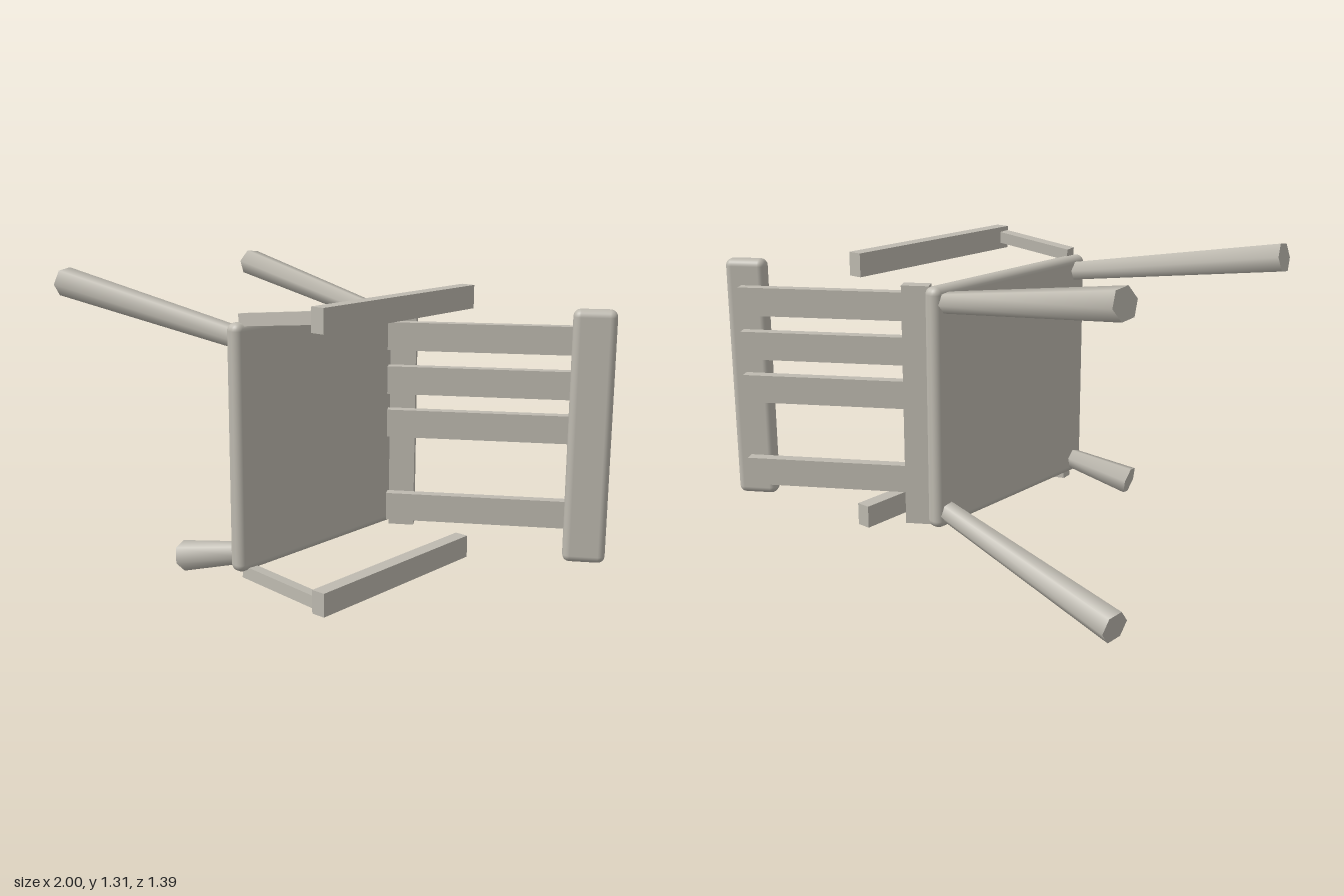
import * as THREE from 'three';
import { RoundedBoxGeometry } from 'three/addons/geometries/RoundedBoxGeometry.js';

const MID = 0.66;     // mirror height of the toppled chair
const LEAN = 0.565;   // lean of the backrest about y

export function createModel() {
  const model = new THREE.Group();
  model.name = 'topplechair';
  const wood = new THREE.MeshStandardMaterial({ color: 0xbebab0 });
  wood.name = 'pale grey wood';

  const add = (name, geometry, x, y, z, turn = 0) => {
    const mesh = new THREE.Mesh(geometry, wood);
    mesh.name = name;
    mesh.position.set(x, y, z);
    mesh.rotation.y = turn;
    model.add(mesh);
    return mesh;
  };

  // Places a geometry whose axis is y between two points
  const between = (name, a, b, make) => {
    const from = new THREE.Vector3(...a), to = new THREE.Vector3(...b);
    const dir = to.clone().sub(from);
    const centre = from.clone().add(to).multiplyScalar(0.5);
    const mesh = add(name, make(dir.length()), centre.x, centre.y, centre.z);
    mesh.quaternion.setFromUnitVectors(new THREE.Vector3(0, 1, 0), dir.normalize());
  };

  // Seat, standing on its edge
  add('seat', new RoundedBoxGeometry(0.075, 1.015, 0.975, 3, 0.032), -0.018, MID, 0.077);

  // Backrest: lower rail, slats (one missing) and rounded head rail
  add('lowerBackRail', new THREE.BoxGeometry(0.112, 1.01, 0.06), 0.072, MID, -0.388, LEAN);
  for (const y of [0.285, 0.66, 0.85, 1.04]) {
    add('backSlat', new THREE.BoxGeometry(0.84, 0.12, 0.047), 0.47, y, -0.453, LEAN);
  }
  add('headRail', new RoundedBoxGeometry(0.175, 1.065, 0.08, 3, 0.03), 0.912, MID, -0.565, LEAN);

  // Armrests and their front posts
  for (const s of [-1, 1]) {
    add('armrest', new THREE.BoxGeometry(0.062, 0.098, 0.93), 0.379, MID + s * 0.552, 0.035);
    between('armPost', [-0.018, MID + s * 0.515, 0.497], [0.385, MID + s * 0.56, 0.471],
      (length) => new THREE.BoxGeometry(0.05, length, 0.05));
  }

  // Tapered six-sided legs, the lower front one broken short
  const legs = [
    ['upperFrontLeg', [-0.02, 1.098, 0.497], [-0.987, 1.258, 0.63]],
    ['upperBackLeg', [-0.02, 1.098, -0.345], [-0.987, 1.258, -0.478]],
    ['lowerBackLeg', [-0.02, 0.222, -0.345], [-0.987, 0.062, -0.478]],
    ['shortFrontLeg', [-0.02, 0.222, 0.497], [-0.322, 0.155, 0.572]],
  ];
  for (const [name, top, foot] of legs) {
    between(name, top, foot, (length) => new THREE.CylinderGeometry(0.064, 0.044, length, 6));
  }
  return model;
}
